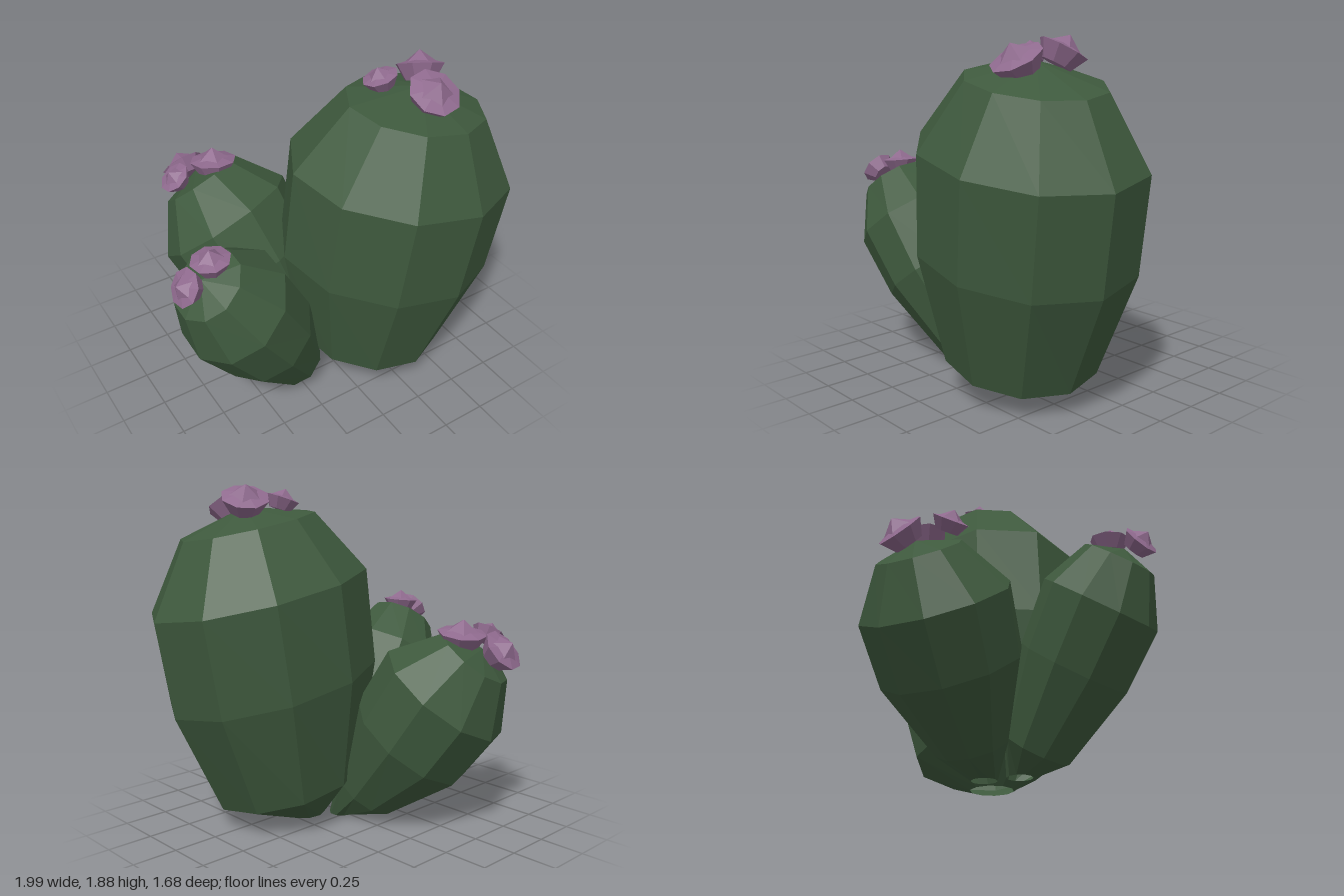
import * as THREE from 'three';

const green = new THREE.MeshStandardMaterial({ color: 0x3e593d, flatShading: true, side: THREE.DoubleSide });
const mauve = new THREE.MeshStandardMaterial({ color: 0x8f6a8e, flatShading: true });

// Skin a stack of rings, bottom to top. Each ring: { c: centre, n: normal, rx, rz }; radius 0 closes an end.
function loft(rings, sides, phase, material, name) {
  const pos = [], idx = [];
  for (const { c, n, rx, rz } of rings) {
    const u = new THREE.Vector3(1, 0, 0).addScaledVector(n, -n.x).normalize();
    const v = new THREE.Vector3().crossVectors(u, n);
    for (let j = 0; j < sides; j++) {
      const t = phase + (j / sides) * Math.PI * 2;
      const p = c.clone().addScaledVector(u, rx * Math.cos(t)).addScaledVector(v, rz * Math.sin(t));
      pos.push(p.x, p.y, p.z);
    }
  }
  for (let i = 0; i < rings.length - 1; i++) {
    for (let j = 0; j < sides; j++) {
      const k = (j + 1) % sides;
      const a = i * sides + j, b = i * sides + k, c = b + sides, d = a + sides;
      if (rings[i + 1].rx > 0) idx.push(a, d, c);
      if (rings[i].rx > 0) idx.push(a, c, b);
    }
  }
  const g = new THREE.BufferGeometry();
  g.setAttribute('position', new THREE.Float32BufferAttribute(pos, 3));
  g.setIndex(idx);
  const flat = g.toNonIndexed();
  flat.computeVertexNormals();
  const mesh = new THREE.Mesh(flat, material);
  mesh.name = name;
  return mesh;
}

// Leaning stem: an open foot [x, z, r] on the ground, tilted rings [x, y, z, rx, rz], a low domed top
function stem(name, lean, [fx, fz, fr], sections, dome, phase) {
  const n = new THREE.Vector3(...lean).normalize();
  const rings = [
    { c: new THREE.Vector3(fx, 0, fz), n: new THREE.Vector3(0, 1, 0), rx: fr, rz: fr },
    ...sections.map(([x, y, z, rx, rz]) => ({ c: new THREE.Vector3(x, y, z), n, rx, rz })),
  ];
  const top = rings[rings.length - 1].c;
  rings.push({ c: top.clone().addScaledVector(n, dome), n, rx: 0, rz: 0 });
  return loft(rings, 10, phase, green, name);
}

// Flower: chunky eight-sided cup with a five-sided pointed centre
function flower(name, [x, y, z], dir, r) {
  const up = new THREE.Vector3(0, 1, 0);
  const ring = ([h, s]) => ({ c: new THREE.Vector3(0, h * r, 0), n: up, rx: s * r, rz: s * r });
  const group = new THREE.Group();
  group.name = name;
  group.add(
    loft([[-0.4, 0], [-0.4, 0.62], [0.25, 1], [0.5, 0]].map(ring), 8, 0.2, mauve, 'petals'),
    loft([[0.3, 0.7], [0.8, 0]].map(ring), 5, 0.5, mauve, 'flowerCentre'),
  );
  group.position.set(x, y, z);
  group.quaternion.setFromUnitVectors(up, new THREE.Vector3(...dir).normalize());
  return group;
}

export function createModel() {
  const model = new THREE.Group();
  model.name = 'cactus';

  // Stems
  model.add(
    stem('mainStem', [0.18, 1, 0.09], [0.15, 0.2, 0.12], [
      [0.235, 0.2, 0.245, 0.435, 0.4],
      [0.305, 0.79, 0.275, 0.625, 0.54],
      [0.37, 1.31, 0.3, 0.645, 0.545],
      [0.425, 1.665, 0.32, 0.395, 0.335],
    ], 0.1, 0.14),
    stem('rightStem', [-0.6, 0.8, 0.1], [-0.16, 0.15, 0.07], [
      [-0.25, 0.14, 0.19, 0.18, 0.19],
      [-0.48, 0.525, 0.265, 0.295, 0.3],
      [-0.67, 0.82, 0.3, 0.32, 0.32],
      [-0.81, 1.03, 0.32, 0.2, 0.19],
    ], 0.06, 0.3),
    stem('backStem', [-0.3, 0.8, -0.55], [0, 0.04, 0.07], [
      [-0.08, 0.15, -0.09, 0.21, 0.19],
      [-0.21, 0.48, -0.31, 0.39, 0.36],
      [-0.3, 0.76, -0.475, 0.42, 0.38],
      [-0.37, 0.97, -0.62, 0.24, 0.21],
    ], 0.06, 0.3),
  );

  // Flowers: position, facing, radius
  const flowers = [
    ['mainFlower', [0.28, 1.785, 0.21], [-0.3, 1, -0.15], 0.095],
    ['mainFlower', [0.51, 1.79, 0.23], [0.25, 1, -0.45], 0.13],
    ['mainFlower', [0.43, 1.75, 0.43], [0, 0.85, 0.5], 0.14],
    ['rightFlower', [-0.77, 1.13, 0.3], [-0.1, 1, 0], 0.105],
    ['rightFlower', [-0.92, 1.08, 0.35], [-0.85, 0.55, 0.1], 0.1],
    ['backFlower', [-0.31, 1.07, -0.57], [0.05, 1, -0.15], 0.135],
    ['backFlower', [-0.42, 1.0, -0.74], [-0.1, 0.6, -0.7], 0.125],
    ['backFlower', [-0.55, 1.06, -0.56], [-0.6, 0.8, 0], 0.095],
  ];
  for (const f of flowers) model.add(flower(...f));
  return model;
}
